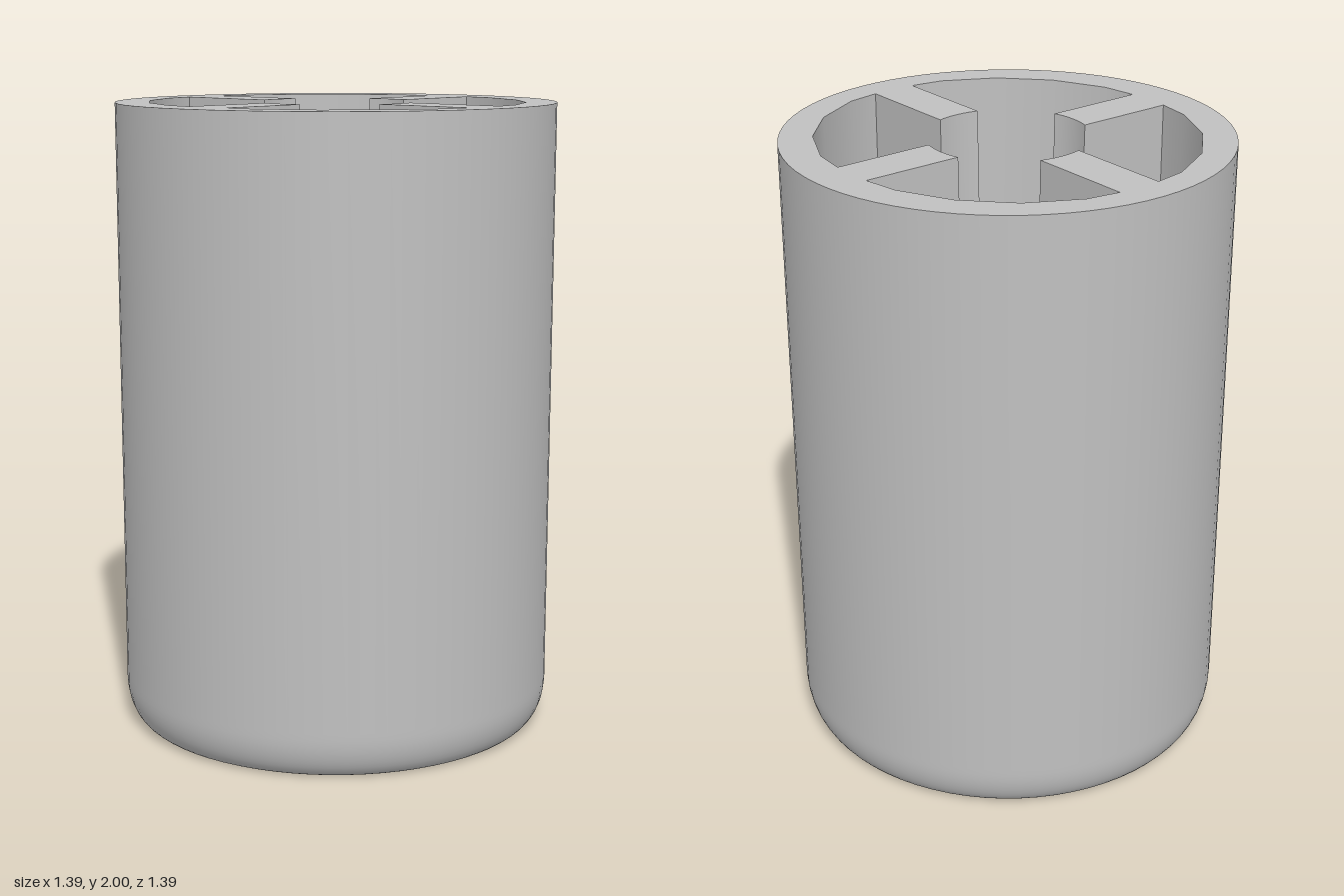
import * as THREE from 'three';

const R = 0.695, H = 2;            // outer radius and height
const FLAT = 0.63, FILLET = 0.13;  // flat base radius, height of the rounded edge
const W = 0.073;                   // half thickness of the ribs
const AX = 0.606, AZ = 0.582;      // pocket half axes (20-sided outline)
const RT = 0.255, RB = 0.23;       // centre hole radius at the rim and at its floor
const HOLE_Y = 0.5, POCKET_Y = 0.2;

export function createModel() {
  const group = new THREE.Group();
  const grey = new THREE.MeshStandardMaterial({ color: 0xc0c0c0 });
  const add = (name, geometry) => {
    const mesh = new THREE.Mesh(geometry, grey);
    mesh.name = name;
    group.add(mesh);
  };

  // Upright strip between two rows of [x, z] points, facing left of travel
  const wall = (name, bottom, y0, top, y1) => {
    const pos = [], idx = [];
    bottom.forEach((b, i) => {
      pos.push(b[0], y0, b[1], top[i][0], y1, top[i][1]);
      const a = 2 * i;
      if (i) idx.push(a - 2, a, a + 1, a - 2, a + 1, a - 1);
    });
    const g = new THREE.BufferGeometry();
    g.setAttribute('position', new THREE.Float32BufferAttribute(pos, 3));
    g.setIndex(idx);
    g.computeVertexNormals();
    add(name, g);
  };

  // Level face looking up, with optional hole
  const level = (name, loop, y, hole) => {
    const vec = (pts) => pts.map(([x, z]) => new THREE.Vector2(x, -z));
    const shape = new THREE.Shape(vec(loop));
    if (hole) shape.holes.push(new THREE.Path(vec(hole)));
    add(name, new THREE.ShapeGeometry(shape).rotateX(-Math.PI / 2).translate(0, y, 0));
  };

  // Mirror first-quadrant points into quadrant k, keeping the turning sense
  const inQuadrant = (pts, k) => {
    const sx = k === 1 || k === 2 ? -1 : 1, sz = k > 1 ? -1 : 1;
    const out = pts.map(([x, z]) => [x * sx, z * sz]);
    return k % 2 ? out.reverse() : out;
  };

  // Curved inner end of rib k
  const ribArc = (k, r) => {
    const half = Math.asin(W / r), pts = [];
    for (let i = 0; i <= 6; i++) {
      const a = k * Math.PI / 2 + half * (i / 3 - 1);
      pts.push([r * Math.cos(a), r * Math.sin(a)]);
    }
    return pts;
  };

  // Outer side of one pocket, cut off by the ribs
  const step = Math.PI / 10, c = Math.cos(step), s = Math.sin(step);
  const outer = [[AX * (1 - (1 - c) * W / (AZ * s)), W]];
  for (let i = 1; i < 5; i++) outer.push([AX * Math.cos(i * step), AZ * Math.sin(i * step)]);
  outer.push([W, AZ * (1 - (1 - c) * W / (AX * s))]);

  // Outside: base, rounded edge and straight side
  const profile = [];
  for (let i = 0; i <= 10; i++) {
    const a = i / 10 * Math.PI / 2;
    profile.push(new THREE.Vector2(FLAT + (R - FLAT) * Math.sin(a), FILLET * (1 - Math.cos(a))));
  }
  profile.push(new THREE.Vector2(R, FILLET + 0.02), new THREE.Vector2(R, H));
  add('outerSide', new THREE.LatheGeometry(profile, 72));
  add('base', new THREE.CircleGeometry(FLAT, 72).rotateX(Math.PI / 2));

  // Pockets and ribs
  const opening = [], cross = [];
  const ht = Math.sqrt(RT * RT - W * W), hb = Math.sqrt(RB * RB - W * W);
  const xa = outer[0], za = outer[5];
  for (let k = 0; k < 4; k++) {
    const q = (pts) => inQuadrant(pts, k);
    wall('pocketWall', q(outer), POCKET_Y, q(outer), H);
    wall('ribSide', q([za, [W, hb]]), HOLE_Y, q([za, [W, ht]]), H);
    wall('ribSide', q([[hb, W], xa]), HOLE_Y, q([[ht, W], xa]), H);
    for (const side of [[za, [W, W]], [[W, W], xa]]) {
      wall('ribFoot', q(side), POCKET_Y, q(side), HOLE_Y);
    }
    level('pocketFloor', q([[W, W], ...outer]), POCKET_Y);
    wall('ribEnd', ribArc(k, RB), HOLE_Y, ribArc(k, RT), H);
    opening.push(...ribArc(k, RT), ...q(outer));
    cross.push(...ribArc(k, RB), ...q([[W, W]]));
  }

  // Cross-shaped floor of the centre hole, and the top rim with its ribs
  level('holeFloor', cross, HOLE_Y);
  const rim = [];
  for (let i = 0; i < 72; i++) {
    const a = i / 72 * Math.PI * 2;
    rim.push([R * Math.cos(a), R * Math.sin(a)]);
  }
  level('topRim', rim, H, opening);
  return group;
}
